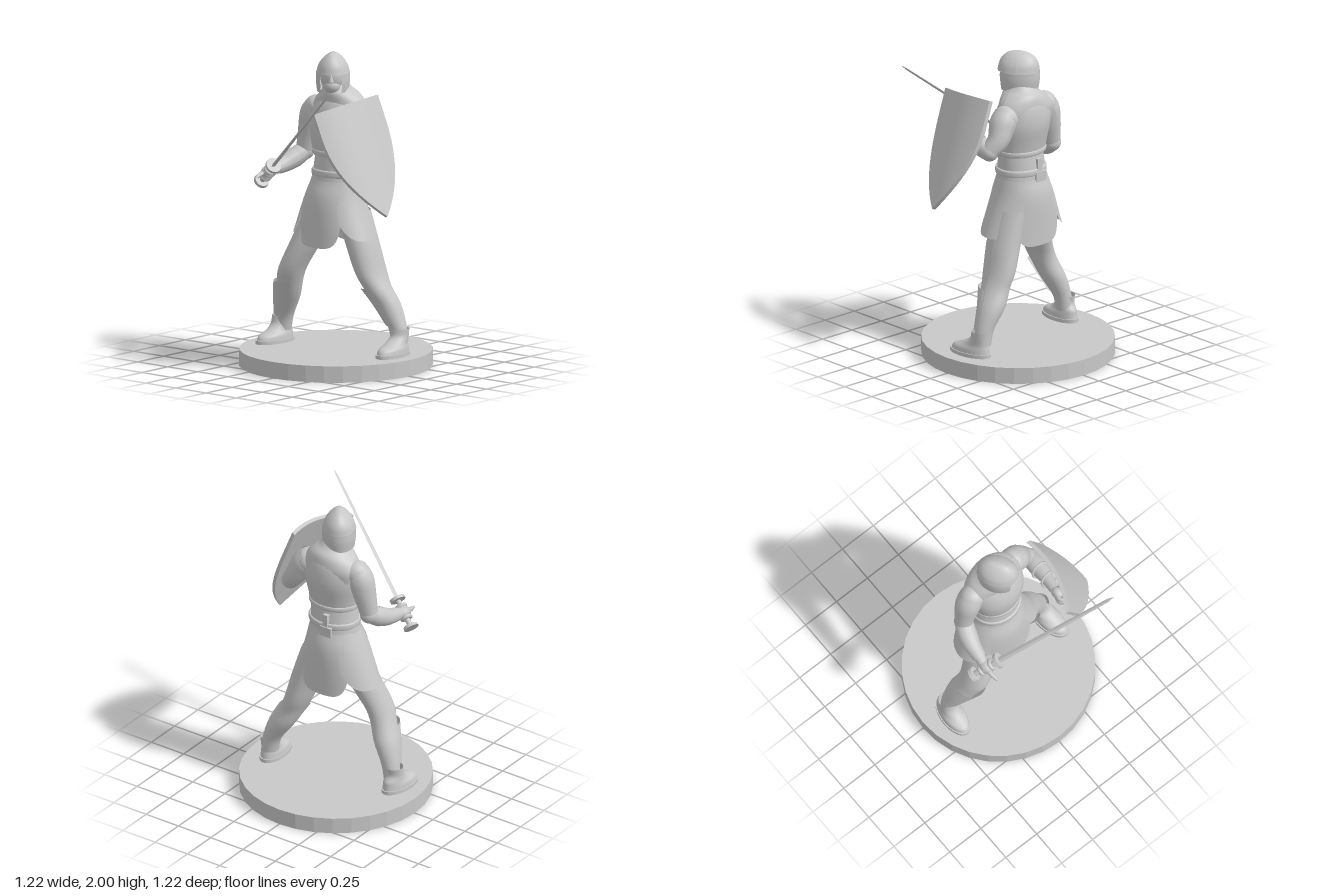
import * as THREE from 'three';

const PI = Math.PI, FRONT = 1.5 * PI; // the figure faces -x
const V = (a) => new THREE.Vector3(...a);

export function createModel() {
  const root = new THREE.Group();
  root.name = 'swordsmanFigure';
  const grey = new THREE.MeshStandardMaterial({ color: 0xc8c8c8, side: THREE.DoubleSide });
  grey.name = 'plain grey';

  const add = (name, geometry, parent = root, pos = [0, 0, 0]) => {
    const mesh = new THREE.Mesh(geometry, grey);
    mesh.name = name;
    mesh.position.set(...pos);
    parent.add(mesh);
    return mesh;
  };
  const group = (name, pos = [0, 0, 0]) => {
    const g = new THREE.Group();
    g.name = name;
    g.position.set(...pos);
    root.add(g);
    return g;
  };
  const faceted = (geometry) => {
    const g = geometry.toNonIndexed();
    g.computeVertexNormals();
    return g;
  };

  // Skin over horizontal ellipses [x, y, z, rx, rz], listed top to bottom
  const loft = (rings, { start = 0, span = 2 * PI, sides = 28, rows = 20, lift = 0 } = {}) => {
    const centres = new THREE.CatmullRomCurve3(rings.map((r) => V(r.slice(0, 3))), false, 'catmullrom');
    const radii = new THREE.CatmullRomCurve3(rings.map((r) => V([r[3], r[4], 0])), false, 'catmullrom');
    const g = new THREE.PlaneGeometry(1, 1, sides, rows);
    const p = g.attributes.position;
    for (let i = 0; i < p.count; i++) {
      const u = p.getX(i) + 0.5, a = start + u * span;
      const t = (0.5 - p.getY(i)) * (1 - lift * Math.abs(2 * u - 1) ** 4);
      const c = centres.getPoint(t), r = radii.getPoint(t);
      p.setXYZ(i, c.x + Math.sin(a) * r.x, c.y, c.z + Math.cos(a) * r.y);
    }
    g.computeVertexNormals();
    return g;
  };

  // Tube of changing thickness; radii are evenly spaced along its length
  const limb = (points, radii, sides = 18, rows = 24) => {
    const curve = new THREE.CatmullRomCurve3(points.map(V));
    const size = new THREE.CatmullRomCurve3(radii.map((r) => V([r, 0, 0])), false, 'catmullrom');
    const g = new THREE.TubeGeometry(curve, rows, 1, sides);
    const p = g.attributes.position, v = new THREE.Vector3();
    for (let i = 0; i < p.count; i++) {
      const t = Math.floor(i / (sides + 1)) / rows;
      const c = curve.getPointAt(t);
      v.fromBufferAttribute(p, i).sub(c).multiplyScalar(size.getPoint(t).x).add(c);
      p.setXYZ(i, v.x, v.y, v.z);
    }
    g.computeVertexNormals();
    return g;
  };
  const ball = (rx, ry, rz) => new THREE.SphereGeometry(1, 20, 14).scale(rx, ry, rz);

  // Round display base
  add('base', faceted(new THREE.CylinderGeometry(0.61, 0.61, 0.105, 32)), root, [0, 0.0525, 0]);

  // Legs, greaves and boots
  const legs = [
    { side: 1, name: 'left', foot: [0.12, 0, 0.43], ankle: 0, rings: [
      [0.05, 1.0, 0.1, 0.12, 0.1], [0.055, 0.8, 0.17, 0.122, 0.095], [0.072, 0.62, 0.225, 0.12, 0.085],
      [0.085, 0.52, 0.27, 0.1, 0.082], [0.115, 0.41, 0.33, 0.086, 0.085], [0.125, 0.28, 0.4, 0.058, 0.062], [0.125, 0.18, 0.42, 0.055, 0.055]] },
    { side: -1, name: 'right', foot: [0, 0, -0.43], ankle: -0.025, rings: [
      [0, 1.0, -0.11, 0.11, 0.1], [-0.055, 0.8, -0.185, 0.112, 0.095], [-0.1, 0.62, -0.265, 0.105, 0.082],
      [-0.09, 0.52, -0.305, 0.09, 0.08], [-0.06, 0.41, -0.35, 0.085, 0.08], [-0.03, 0.28, -0.4, 0.058, 0.06], [-0.025, 0.18, -0.42, 0.055, 0.055]] },
  ];
  for (const { side, name, foot, ankle, rings } of legs) {
    add(name + 'Leg', loft(rings));
    const shin = rings.slice(3, 6).map(([x, y, z, rx, rz], i) => [x, y, z, rx + (i ? 0.01 : 0.022), rz + (i ? 0.01 : 0.018)]);
    add(name + 'Greave', loft(shin, { start: FRONT + side * 0.4 - 1.2, span: 2.4, lift: 0.1 }));
    const boot = group(name + 'Boot', foot);
    boot.rotation.y = side > 0 ? 0.12 : -0.06;
    add('bootUpper', loft([[ankle, 0.27, 0, 0.058, 0.058], [ankle - 0.01, 0.22, 0, 0.064, 0.056],
      [-0.045, 0.182, 0, 0.1, 0.06], [-0.075, 0.155, 0, 0.135, 0.07], [-0.083, 0.122, 0, 0.148, 0.074]]), boot);
    add('bootSole', new THREE.CylinderGeometry(1, 1, 0.024, 28).scale(0.155, 1, 0.08), boot, [-0.083, 0.116, 0]);
  }

  // Mail skirt and the rounded panels hanging over it
  add('mailSkirt', loft([[0.02, 1.36, 0, 0.12, 0.155], [0.02, 1.22, -0.01, 0.138, 0.165],
    [0.015, 1.08, -0.015, 0.158, 0.19], [0.01, 0.95, -0.015, 0.165, 0.23], [0.005, 0.87, -0.015, 0.14, 0.22]]));
  const flare = (bottom, out, wide) => [[0.02, 1.19, -0.01, 0.148, 0.168],
    [0.015, 1.05, -0.02, 0.184, 0.212], [0.005, bottom, -0.018, out, wide]];
  const panels = [
    ['backPanel', PI / 2, 1.6, 0.76, 0.195, 0.285],
    ['frontPanel', FRONT, 1.5, 0.77, 0.19, 0.28],
    ['leftTasset', 0.05, 1.85, 0.825, 0.208, 0.292],
    ['rightTasset', PI - 0.05, 1.85, 0.815, 0.208, 0.298],
  ];
  for (const [name, middle, span, bottom, out, wide] of panels) {
    add(name, loft(flare(bottom, out, wide), { start: middle - span / 2, span, lift: 0.24 }));
  }

  // Cuirass, its lower rim, belts and buckle
  add('cuirass', loft([[0.04, 1.75, 0, 0.08, 0.085], [0.045, 1.71, 0, 0.115, 0.14], [0.04, 1.64, -0.005, 0.144, 0.182],
    [0.03, 1.54, -0.005, 0.16, 0.194], [0.02, 1.43, -0.005, 0.148, 0.178], [0.02, 1.34, -0.005, 0.13, 0.162]]));
  const bands = [['cuirassRim', 1.365, 0.14, 0.168, 0.016], ['belt', 1.235, 0.143, 0.168, 0.022]];
  for (const [name, y, rx, rz, h] of bands) {
    add(name, loft([[0.02, y + h, -0.005, rx - 0.006, rz - 0.006], [0.02, y + h * 0.7, -0.005, rx + 0.004, rz + 0.004],
      [0.02, y - h * 0.7, -0.005, rx + 0.004, rz + 0.004], [0.02, y - h, -0.005, rx - 0.006, rz - 0.006]], { rows: 9 }));
  }
  add('backBuckle', new THREE.BoxGeometry(0.02, 0.065, 0.085), root, [0.165, 1.205, -0.04]);
  add('buckleStrap', new THREE.BoxGeometry(0.03, 0.09, 0.035), root, [0.152, 1.275, -0.035]);

  // Mail collar and the yoke that slopes down to the shoulders
  add('collar', loft([[0.01, 1.81, -0.01, 0.075, 0.075], [0.02, 1.77, -0.005, 0.1, 0.095],
    [0.035, 1.74, 0, 0.12, 0.125], [0.045, 1.7, -0.005, 0.125, 0.17], [0.05, 1.64, -0.01, 0.125, 0.205], [0.05, 1.57, -0.01, 0.11, 0.215]]));

  // Head turned towards the shield, with a ridged, open-faced helmet
  const head = group('head', [-0.012, 1.88, -0.015]);
  head.rotation.y = 0.6;
  add('face', ball(0.1, 0.115, 0.08), head, [-0.005, -0.025, 0]);
  add('jaw', ball(0.055, 0.05, 0.055), head, [-0.05, -0.085, 0]);
  add('nose', new THREE.ConeGeometry(0.018, 0.055, 8), head, [-0.107, -0.025, 0]);
  add('helmetBowl', loft([[0, 0.121, 0, 0.001, 0.001], [0, 0.114, 0, 0.055, 0.025], [0.002, 0.086, 0, 0.099, 0.06],
    [0.002, 0.045, 0, 0.125, 0.09], [0, -0.005, 0, 0.135, 0.106]]), head);
  add('helmetSides', loft([[0, -0.005, 0, 0.135, 0.106], [0, -0.06, 0, 0.135, 0.107], [0, -0.125, 0, 0.126, 0.1]],
    { start: FRONT + 0.7, span: 2 * PI - 1.4 }), head);

  // Arms
  add('rightShoulder', ball(0.08, 0.083, 0.085), root, [0.035, 1.62, -0.185]);
  add('rightUpperArm', limb([[0.035, 1.64, -0.17], [0.03, 1.59, -0.21], [0.025, 1.47, -0.243], [0.015, 1.34, -0.27]], [0.078, 0.083, 0.076, 0.066, 0.058]));
  add('rightElbow', ball(0.062, 0.062, 0.06), root, [0.015, 1.34, -0.27]);
  add('rightForearm', limb([[0.015, 1.34, -0.27], [-0.08, 1.285, -0.303], [-0.25, 1.24, -0.325]], [0.058, 0.062, 0.052, 0.04, 0.034]));
  add('rightCuff', limb([[-0.05, 1.3, -0.295], [-0.12, 1.27, -0.31], [-0.21, 1.248, -0.32]], [0.064, 0.058, 0.05, 0.044]));
  add('leftShoulder', ball(0.085, 0.085, 0.08), root, [0.065, 1.61, 0.165]);
  add('leftUpperArm', limb([[0.06, 1.635, 0.15], [0.07, 1.58, 0.195], [0.085, 1.49, 0.25], [0.065, 1.42, 0.305]], [0.08, 0.086, 0.076, 0.066, 0.058]));
  add('leftElbow', ball(0.06, 0.058, 0.058), root, [0.065, 1.42, 0.305]);
  add('leftForearm', limb([[0.065, 1.42, 0.305], [-0.06, 1.45, 0.3], [-0.23, 1.5, 0.275]], [0.058, 0.062, 0.052, 0.04, 0.034]));
  for (const x of [-0.05, -0.14]) {
    const strap = add('forearmStrap', new THREE.TorusGeometry(0.059, 0.008, 8, 20).rotateY(PI / 2), root, [x, 1.45 - (x + 0.06) * 0.29, 0.298]);
    strap.rotation.z = -0.28;
  }

  // Hands; the left one grips a strap behind the shield
  add('leftHand', ball(0.045, 0.04, 0.034), root, [-0.255, 1.505, 0.27]);
  for (let i = 0; i < 4; i++) {
    const y = 1.535 - i * 0.021;
    add('leftFinger', limb([[-0.26, y, 0.255], [-0.305, y, 0.25], [-0.325, y, 0.275], [-0.3, y, 0.295]], [0.013, 0.013, 0.011], 8, 10));
  }
  add('shieldGrip', limb([[-0.3, 1.6, 0.315], [-0.305, 1.55, 0.28], [-0.3, 1.47, 0.285], [-0.29, 1.41, 0.355]], [0.01, 0.01, 0.01], 8, 14));
  add('rightHand', ball(0.055, 0.04, 0.045), root, [-0.275, 1.235, -0.32]);
  add('rightIndexFinger', limb([[-0.29, 1.235, -0.33], [-0.345, 1.225, -0.33], [-0.39, 1.215, -0.32]], [0.018, 0.015, 0.01], 8, 10));

  // Sword, built along y from the pommel to the point
  const pommel = V([-0.25, 1.165, -0.4]), tip = V([-0.6, 1.86, 0.45]);
  const length = pommel.distanceTo(tip);
  const sword = group('sword', pommel.toArray());
  sword.quaternion.setFromUnitVectors(new THREE.Vector3(0, 1, 0), tip.clone().sub(pommel).normalize());
  add('pommel', new THREE.CylinderGeometry(0.046, 0.05, 0.02, 20), sword);
  add('grip', new THREE.CylinderGeometry(0.016, 0.018, 0.19, 12), sword, [0, 0.1, 0]);
  add('guard', new THREE.CylinderGeometry(0.05, 0.05, 0.02, 20), sword, [0, 0.2, 0]);
  const bladeEnd = length - 0.05, bladeLength = bladeEnd - 0.2;
  add('blade', faceted(new THREE.CylinderGeometry(0.011, 0.019, bladeLength, 4).scale(1, 1, 0.6)), sword, [0, 0.2 + bladeLength / 2, 0]);
  add('bladePoint', faceted(new THREE.ConeGeometry(0.011, 0.05, 4).scale(1, 1, 0.6)), sword, [0, bladeEnd + 0.025, 0]);
  for (let i = 0; i < 4; i++) {
    add('rightFinger', new THREE.TorusGeometry(0.028, 0.014, 8, 16).rotateX(PI / 2), sword, [0, 0.065 + i * 0.027, 0]);
  }

  // Shield: a box bent into a curved, pointed plate that leans outward at the foot
  const top = V([-0.208, 1.744, 0.303]), down = V([0.036, -0.699, 0.274]);
  const across = V([0.505, 0.065, 0.09]).normalize();
  const outward = down.clone().cross(across).normalize();
  const plate = new THREE.BoxGeometry(1, 1, 1, 24, 28, 1);
  const pos = plate.attributes.position, q = new THREE.Vector3();
  for (let i = 0; i < pos.count; i++) {
    const v = 0.5 - pos.getY(i);
    const half = 0.26 * (1 - Math.max(0, (v - 0.2) / 0.8) ** 2.2);
    const s = 2 * pos.getX(i) * half;
    q.copy(top).addScaledVector(down, v).addScaledVector(across, s);
    q.addScaledVector(outward, -0.055 * (s / 0.26) ** 2 + (pos.getZ(i) - 0.5) * 0.026);
    pos.setXYZ(i, q.x, q.y, q.z);
  }
  plate.computeVertexNormals();
  add('shield', plate);

  return root;
}
